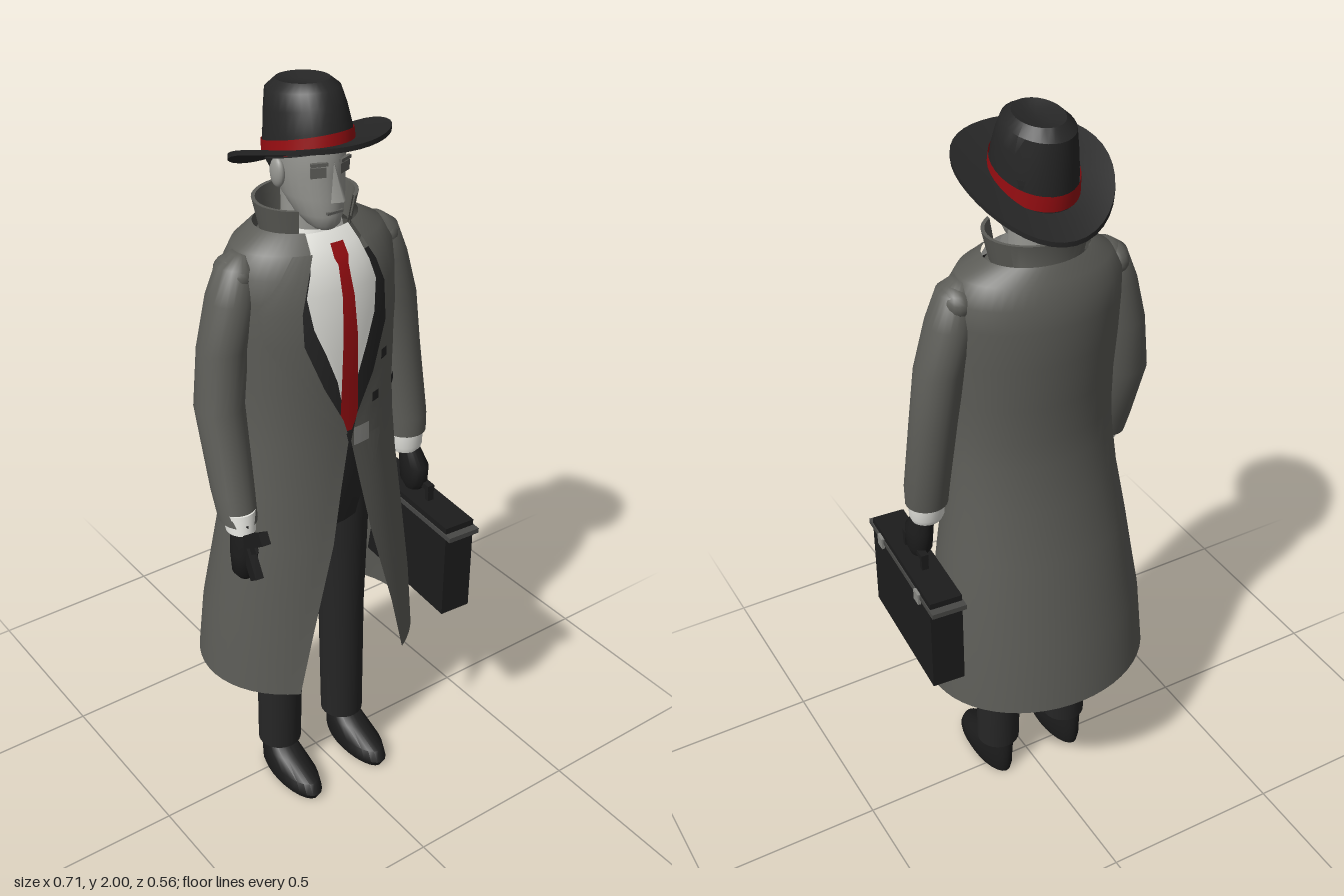
import * as THREE from 'three';
import { toCreasedNormals } from 'three/addons/utils/BufferGeometryUtils.js';

const CX = -0.017; // body centre line
const mat = (name, color, side = THREE.DoubleSide) => {
  const m = new THREE.MeshStandardMaterial({ color, side });
  m.name = name;
  return m;
};

// Horizontal oval ring from [y, cx, halfWidth, zFront, zBack, slope], open by e at the front
function ring([y, cx, a, zf, zb, slope = 0], n = 24, e = 0, yAt = null) {
  const zc = (zf + zb) / 2, r = (zf - zb) / 2, t0 = a > 0 ? Math.asin(Math.min(1, e / a)) : 0;
  return Array.from({ length: n + 1 }, (_, i) => {
    const t = t0 + (i / n) * (2 * Math.PI - 2 * t0);
    const x = a * Math.sin(t), z = zc + r * Math.cos(t);
    return [cx + x, yAt ? yAt(x, z) : y + slope * z, z];
  });
}

// Skin over rings with the same number of points
function loft(rings, crease = 0.7) {
  const n = rings[0].length, index = [];
  for (let i = 0; i < rings.length - 1; i++)
    for (let j = 0; j < n - 1; j++) {
      const a = i * n + j, d = a + n;
      index.push(a, a + 1, d + 1, a, d + 1, d);
    }
  const g = new THREE.BufferGeometry();
  g.setAttribute('position', new THREE.Float32BufferAttribute(rings.flat(2), 3));
  g.setIndex(index);
  return toCreasedNormals(g, crease);
}

// Closed solid from oval rows
function solid(rows, n = 24, crease = 0.8) {
  const cap = ([y, cx, , zf, zb, s]) => [y, cx, 0, (zf + zb) / 2, (zf + zb) / 2, s];
  return loft([cap(rows[0]), ...rows, cap(rows.at(-1))].map(r => ring(r, n)), crease);
}

// Coat rows: y, half width, front z, back z, half opening
const COAT = [
  [0.42, 0.31, 0.235, -0.28, 0.17], [0.6, 0.298, 0.215, -0.252, 0.128],
  [0.85, 0.262, 0.19, -0.2, 0.06], [1.0, 0.238, 0.175, -0.168, 0.03],
  [1.13, 0.224, 0.167, -0.152, 0.004], [1.2, 0.22, 0.166, -0.15, 0.022],
  [1.3, 0.22, 0.168, -0.155, 0.075], [1.42, 0.225, 0.168, -0.166, 0.122],
  [1.52, 0.228, 0.158, -0.168, 0.122], [1.58, 0.226, 0.143, -0.162, 0.1],
  [1.63, 0.198, 0.118, -0.143, 0.075], [1.665, 0.135, 0.085, -0.122, 0.065],
];
function coatZ(x, y) {
  let i = 0;
  while (i < COAT.length - 2 && COAT[i + 1][0] < y) i++;
  const p = COAT[i], q = COAT[i + 1], k = Math.min(1, (y - p[0]) / (q[0] - p[0]));
  const [, a, zf, zb] = p.map((v, j) => v + (q[j] - v) * k);
  return (zf + zb) / 2 + ((zf - zb) / 2) * Math.sqrt(Math.max(0, 1 - (x / a) ** 2));
}
// Thin cloth following the coat front, rows of [y, x0, x1] from the centre line
const cloth = (rows, off) => loft(rows.map(([y, x0, x1]) =>
  Array.from({ length: 9 }, (_, i) => {
    const x = x0 + ((x1 - x0) * i) / 8;
    return [CX + x, y, coatZ(x, y) + off];
  })));

export function createModel() {
  const model = new THREE.Group();
  const coat = mat('coat grey', 0x5c5c57), black = mat('black', 0x262626);
  const dark = mat('case black', 0x1c1c1c), skin = mat('skin grey', 0x969691);
  const white = mat('shirt white', 0xe6e6e0), red = mat('red', 0x960d11);
  const metal = mat('metal grey', 0x8a8a86), shade = mat('shadow grey', 0x60605c);
  const trim = mat('trim grey', 0x484846);
  const add = (name, geo, m, parent = model) => {
    const mesh = new THREE.Mesh(geo, m);
    mesh.name = name;
    parent.add(mesh);
    return mesh;
  };
  const box = (name, w, h, d, x, y, z, m, parent) => {
    const b = add(name, new THREE.BoxGeometry(w, h, d), m, parent);
    b.position.set(x, y, z);
    return b;
  };
  const ball = (name, sx, sy, sz, x, y, z, m) => {
    const b = add(name, new THREE.SphereGeometry(1, 20, 14), m);
    b.scale.set(sx, sy, sz);
    b.position.set(x, y, z);
    return b;
  };

  // Legs and shoes
  for (const s of [-1, 1]) {
    const x = CX + s * 0.109;
    add('trouserLeg', solid([[0.105, x, 0.06, 0.06, -0.06], [0.5, x - s * 0.006, 0.063, 0.065, -0.065],
      [0.9, x - s * 0.022, 0.082, 0.09, -0.085]]), black);
    const sx = x + s * 0.004;
    add('shoe', solid([[0, sx, 0.044, 0.18, -0.056], [0.02, sx, 0.052, 0.192, -0.06], [0.05, sx, 0.051, 0.175, -0.06],
      [0.08, sx, 0.046, 0.09, -0.058], [0.11, sx, 0.038, 0.035, -0.05]]), dark);
  }
  add('hips', solid([[0.84, CX, 0.16, 0.1, -0.09], [1.0, CX, 0.175, 0.13, -0.11], [1.18, CX, 0.17, 0.13, -0.11]]), black);

  // Suit, shirt and tie
  const even = rows => rows.map(([y, e]) => [y, -e, e]);
  add('suitLapels', cloth(even([[1.1, 0.03], [1.2, 0.07], [1.3, 0.12], [1.42, 0.16], [1.52, 0.16], [1.6, 0.12]]), -0.018), black);
  add('shirt', cloth(even([[1.18, 0.004], [1.3, 0.03], [1.38, 0.06], [1.45, 0.088], [1.53, 0.1], [1.58, 0.085], [1.63, 0.068], [1.66, 0.06]]), -0.011), white);
  add('tie', cloth(even([[1.16, 0.008], [1.2, 0.026], [1.3, 0.024], [1.42, 0.021], [1.52, 0.017], [1.595, 0.014], [1.61, 0.02], [1.64, 0.018]]), -0.002), red);
  add('shirtCollar', loft([[1.6, CX, 0.09, 0.09, -0.1], [1.665, CX, 0.074, 0.078, -0.085]].map(r => ring(r))), white);

  // Coat with upturned collar, lapel, buttons and buckle
  add('coat', loft(COAT.map(([y, a, zf, zb, e]) => ring([y, CX, a, zf, zb], 44, e)), 1.2), coat);
  add('coatCollar', loft([ring([1.61, CX, 0.14, 0.1, -0.13], 32, 0.09), ring([1.645, CX, 0.115, 0.08, -0.118], 32, 0.072),
    ring([1.72, CX, 0.133, 0.092, -0.13], 32, 0.08), ring([1.72, CX, 0.124, 0.083, -0.121], 32, 0.08),
    ring([1.64, CX, 0.108, 0.072, -0.11], 32, 0.07)]), coat);
  add('coatLapel', cloth([[1.16, -0.02, -0.012], [1.2, -0.06, -0.024], [1.3, -0.135, -0.076], [1.42, -0.196, -0.122],
    [1.5, -0.205, -0.122], [1.58, -0.16, -0.1], [1.63, -0.12, -0.075]], 0.008), coat);
  add('pocketFlap', cloth([[1.03, 0.062, 0.075], [1.12, 0.05, 0.1], [1.135, 0.05, 0.1]], 0.007), coat);
  for (const [x, y] of [[0.082, 1.23], [0.172, 1.23], [0.113, 1.335]])
    add('button', cloth([[y - 0.013, x - 0.012, x + 0.012], [y + 0.013, x - 0.012, x + 0.012]], 0.005), black);
  add('buckle', cloth([[1.12, 0.006, 0.056], [1.17, 0.006, 0.056]], 0.008), metal);

  // Arms: sleeves, cuffs and gloves
  const L = [[1.0, 0.272, 0.055, 0.082, -0.026], [1.05, 0.272, 0.058, 0.08, -0.034], [1.25, 0.26, 0.06, 0.055, -0.062],
    [1.4, 0.238, 0.062, 0.06, -0.068], [1.52, 0.205, 0.06, 0.062, -0.07], [1.6, 0.19, 0.045, 0.045, -0.055], [1.625, 0.18, 0.02, 0.02, -0.03]];
  const R = [[1.0, -0.305, 0.048, 0.15, 0.045, -0.15], [1.06, -0.302, 0.054, 0.128, 0.02, -0.1], [1.25, -0.287, 0.062, 0.065, -0.06],
    [1.4, -0.268, 0.062, 0.06, -0.068], [1.52, -0.24, 0.06, 0.062, -0.07], [1.6, -0.224, 0.045, 0.045, -0.055], [1.625, -0.214, 0.02, 0.02, -0.03]];
  add('leftSleeve', solid(L), coat);
  add('rightSleeve', solid(R), coat);
  for (const s of [-1, 1]) ball('shoulderCap', 0.042, 0.045, 0.06, CX + s * 0.212, 1.575, -0.008, coat);
  add('leftCuff', solid([[0.945, 0.272, 0.04, 0.07, -0.005], [0.96, 0.272, 0.046, 0.074, -0.012], [1.01, 0.272, 0.046, 0.074, -0.014]]), white);
  add('rightCuff', solid([[0.96, -0.308, 0.036, 0.155, 0.075], [1.01, -0.305, 0.042, 0.145, 0.06]]), white);
  add('leftGlove', solid([[0.825, 0.287, 0.022, 0.08, 0.03], [0.85, 0.286, 0.032, 0.098, 0.012], [0.9, 0.283, 0.034, 0.104, 0.01], [0.96, 0.276, 0.026, 0.062, 0.01]]), dark);
  add('rightGlove', solid([[0.82, -0.305, 0.016, 0.14, 0.1], [0.84, -0.306, 0.03, 0.158, 0.09], [0.9, -0.308, 0.034, 0.165, 0.09], [0.985, -0.308, 0.026, 0.15, 0.085]]), dark);

  // Pistol
  const pistol = new THREE.Group();
  pistol.name = 'pistol';
  pistol.position.set(-0.316, 0.955, 0.19);
  pistol.rotation.set(-0.6, -0.1, 0, 'YXZ');
  box('barrel', 0.024, 0.032, 0.14, 0, 0.012, 0, dark, pistol);
  box('grip', 0.022, 0.09, 0.035, 0, -0.04, -0.05, dark, pistol);
  box('triggerGuard', 0.008, 0.02, 0.03, 0, -0.012, -0.015, dark, pistol);
  model.add(pistol);

  // Briefcase
  const bag = new THREE.Group();
  bag.name = 'briefcase';
  bag.position.set(0.296, 0, 0.058);
  bag.rotation.y = -0.07;
  box('caseBody', 0.088, 0.28, 0.395, 0, 0.67, 0, dark, bag);
  box('caseRim', 0.094, 0.014, 0.438, 0, 0.786, 0, trim, bag);
  box('handleGrip', 0.02, 0.016, 0.13, 0, 0.848, 0, dark, bag);
  for (const z of [-0.058, 0.058]) box('handlePost', 0.018, 0.045, 0.014, 0, 0.828, z, dark, bag);
  for (const z of [-0.12, 0.13]) box('latch', 0.01, 0.032, 0.03, 0.047, 0.78, z, metal, bag);
  model.add(bag);

  // Head
  add('neck', solid([[1.58, CX, 0.062, 0.06, -0.075], [1.76, CX, 0.06, 0.055, -0.08]]), skin);
  add('head', solid([[1.663, CX, 0.026, 0.085, 0.035], [1.675, CX, 0.04, 0.097, 0.0], [1.7, CX, 0.056, 0.1, -0.045],
    [1.74, CX, 0.069, 0.098, -0.08], [1.8, CX, 0.077, 0.094, -0.1], [1.86, CX, 0.08, 0.094, -0.104], [1.92, CX, 0.07, 0.07, -0.09]]), skin);
  add('hair', solid([[1.775, CX, 0.06, -0.03, -0.104], [1.81, CX, 0.08, -0.02, -0.11], [1.87, CX, 0.083, -0.01, -0.114]]), black);
  const nose = add('nose', new THREE.ConeGeometry(0.021, 0.09, 4), skin);
  nose.position.set(CX, 1.785, 0.103);
  nose.rotation.x = -0.2;
  box('mouth', 0.044, 0.006, 0.008, CX, 1.71, 0.098, shade);
  for (const s of [-1, 1]) {
    ball('ear', 0.014, 0.036, 0.024, CX + s * 0.082, 1.79, -0.012, skin);
    box('eye', 0.036, 0.024, 0.008, CX + s * 0.036, 1.808, 0.083, shade).rotation.y = s * 0.35;
    box('eyebrow', 0.04, 0.008, 0.009, CX + s * 0.036, 1.828, 0.087, shade).rotation.y = s * 0.35;
  }

  // Hat: tilted curled brim, band and dented crown
  const brimY = d => (x, z) => 1.832 + d + 0.33 * z + 0.9 * x * x - (z < 0 ? 0.5 * z * z : 0);
  const brimRing = (k, d) => ring([0, CX, 0.185 * k, 0.19 * k, -0.195 * k], 40, 0, brimY(d));
  add('hatBrim', loft([brimRing(0.45, -0.006), brimRing(0.75, -0.006), brimRing(1, -0.006), brimRing(1, 0.006), brimRing(0.75, 0.006), brimRing(0.45, 0.006)]), black);
  add('hatCrown', loft([[1.83, CX, 0.098, 0.113, -0.124, 0.29], [1.88, CX, 0.096, 0.106, -0.127, 0.27], [1.935, CX, 0.088, 0.09, -0.129, 0.2],
    [1.976, CX, 0.08, 0.072, -0.128, 0.13], [1.995, CX, 0.058, 0.045, -0.1, 0.1], [1.985, CX, 0.025, 0.02, -0.06, 0.1],
    [1.982, CX, 0, -0.02, -0.02, 0.1]].map(r => ring(r, 32))), black);
  add('hatBand', loft([[1.835, CX, 0.102, 0.116, -0.128, 0.29], [1.872, CX, 0.1, 0.11, -0.13, 0.28]].map(r => ring(r, 32))), red);
  return model;
}
